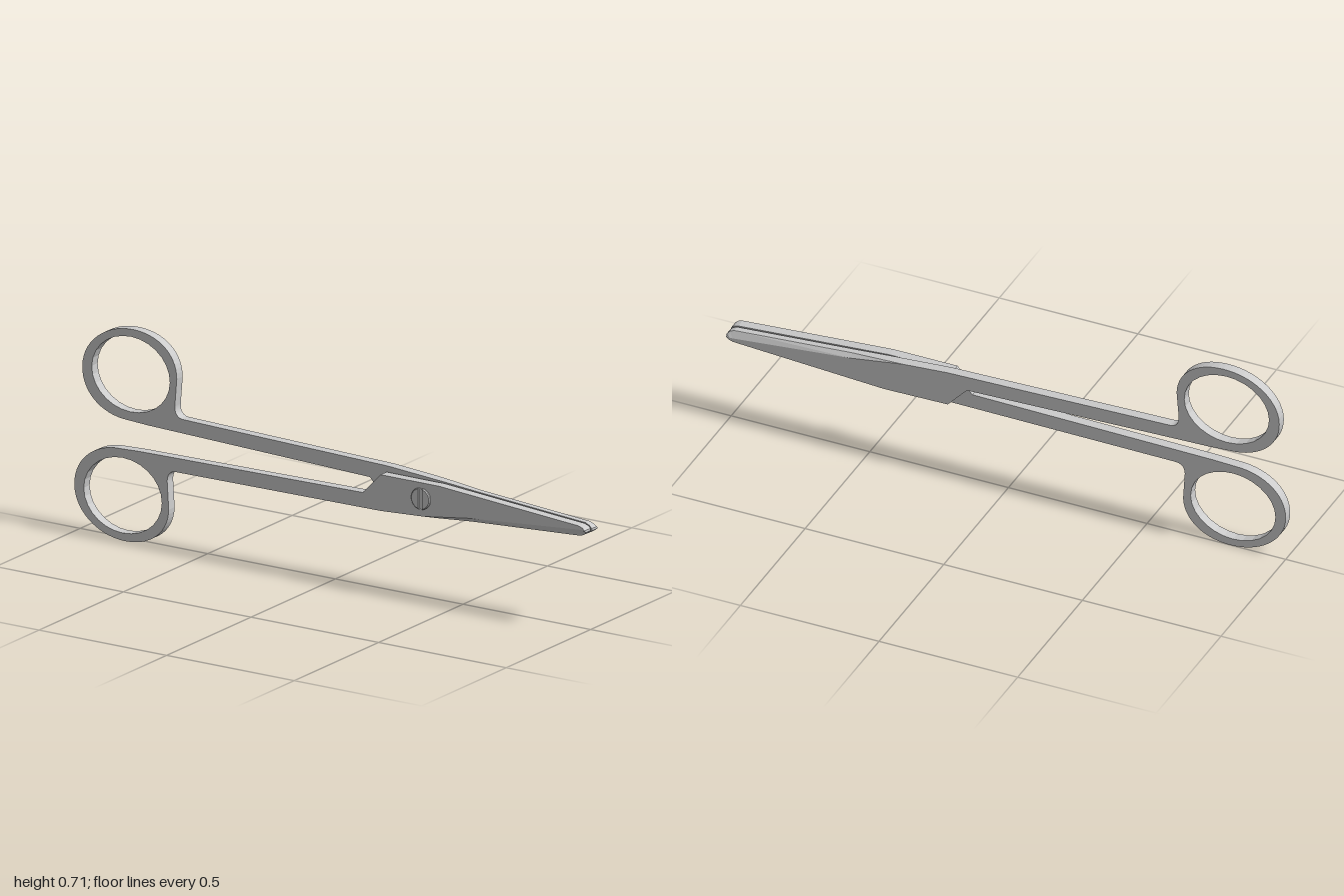
import * as THREE from 'three';

const THICK = 0.035;
const PIVOT = [0.36, 0.35];

const metal = new THREE.MeshStandardMaterial({ color: 0xcccccc, flatShading: true });

// Finger ring, shank and pivot block as one flat outline
function handleGeometry() {
  const s = new THREE.Shape();
  s.moveTo(0.36, 0.404);
  s.lineTo(0.2, 0.404);
  s.lineTo(0.13, 0.331);
  s.lineTo(-0.74, 0.32);
  s.lineTo(-0.84, 0.316);
  s.bezierCurveTo(-0.93, 0.308, -1, 0.25, -1, 0.165);
  s.bezierCurveTo(-1, 0.075, -0.91, 0.003, -0.8, 0.003);
  s.bezierCurveTo(-0.7, 0.003, -0.632, 0.06, -0.63, 0.14);
  s.lineTo(-0.636, 0.235);
  s.bezierCurveTo(-0.636, 0.26, -0.625, 0.274, -0.6, 0.274);
  s.lineTo(0.2, 0.28);
  s.lineTo(0.36, 0.289);
  s.closePath();
  const hole = new THREE.Path();
  hole.absellipse(-0.81, 0.158, 0.153, 0.129, 0, Math.PI * 2, true);
  s.holes.push(hole);
  return new THREE.ExtrudeGeometry(s, { depth: THICK, bevelEnabled: false, curveSegments: 14 });
}

// Tapering blade with a ground bevel along its outer edge, lofted from five-sided sections
function bladeGeometry() {
  // x, lower edge y, upper edge y, bevel line y, z of the lower edge
  const sections = [
    [0.36, 0.289, 0.404, 0.289, 0.035],
    [0.43, 0.293, 0.404, 0.2985, 0.031],
    [0.55, 0.301, 0.395, 0.315, 0.023],
    [0.975, 0.326, 0.363, 0.35, 0.023],
    [0.99, 0.332, 0.358, 0.35, 0.025],
    [1.0, 0.342, 0.35, 0.347, 0.028],
  ].map(([x, yb, yt, yf, ze]) => [
    [x, yb, 0], [x, yt, 0], [x, yt, THICK], [x, yf, THICK], [x, yb, ze],
  ]);
  const pos = [];
  const tri = (a, b, c) => pos.push(...a, ...b, ...c);
  for (let i = 0; i < sections.length - 1; i++) {
    const a = sections[i], b = sections[i + 1];
    for (let j = 0; j < 5; j++) {
      const k = (j + 1) % 5;
      tri(a[j], a[k], b[k]);
      tri(a[j], b[k], b[j]);
    }
  }
  const end = sections[sections.length - 1];
  for (let j = 1; j < 4; j++) tri(end[0], end[j], end[j + 1]);
  const g = new THREE.BufferGeometry();
  g.setAttribute('position', new THREE.Float32BufferAttribute(pos, 3));
  g.computeVertexNormals();
  return g;
}

function addMesh(parent, name, geometry, material = metal) {
  const m = new THREE.Mesh(geometry, material);
  m.name = name;
  parent.add(m);
  return m;
}

// One half of the scissors, with its origin at the pivot
function makeHalf(name) {
  const half = new THREE.Group();
  half.name = name;
  for (const [part, geo] of [['handle', handleGeometry()], ['blade', bladeGeometry()]]) {
    addMesh(half, part, geo.translate(-PIVOT[0], -PIVOT[1], 0));
  }
  return half;
}

// Pivot screw: a shaft and a head split by an upright slot
function makeScrew() {
  const screw = new THREE.Group();
  screw.name = 'pivotScrew';
  const smooth = new THREE.MeshStandardMaterial({ color: 0xcccccc });
  const shaft = new THREE.CylinderGeometry(0.034, 0.034, 0.047, 32).rotateX(Math.PI / 2);
  addMesh(screw, 'screwShaft', shaft.translate(0, 0, 0.0135), smooth);
  const r = 0.034, a = Math.acos(0.008 / r);
  for (const side of [0, Math.PI]) {
    const s = new THREE.Shape();
    s.absarc(0, 0, r, -a, a, false);
    s.closePath();
    const g = new THREE.ExtrudeGeometry(s, {
      depth: 0.004, bevelThickness: 0.003, bevelSize: 0.003, bevelSegments: 1, curveSegments: 20,
    });
    addMesh(screw, 'screwHeadHalf', g.translate(0, 0, 0.036).rotateZ(side));
  }
  return screw;
}

export function createModel() {
  const model = new THREE.Group();
  model.name = 'scissors';

  const front = makeHalf('frontHalf');
  front.position.set(PIVOT[0], PIVOT[1], 0);

  // The rear half is the same piece turned over and opened slightly
  const rear = makeHalf('rearHalf');
  rear.position.set(PIVOT[0], PIVOT[1], -0.007);
  rear.rotation.set(Math.PI, 0, 0.0175);

  const screw = makeScrew();
  screw.position.set(PIVOT[0], PIVOT[1], 0);

  model.add(front, rear, screw);
  return model;
}
